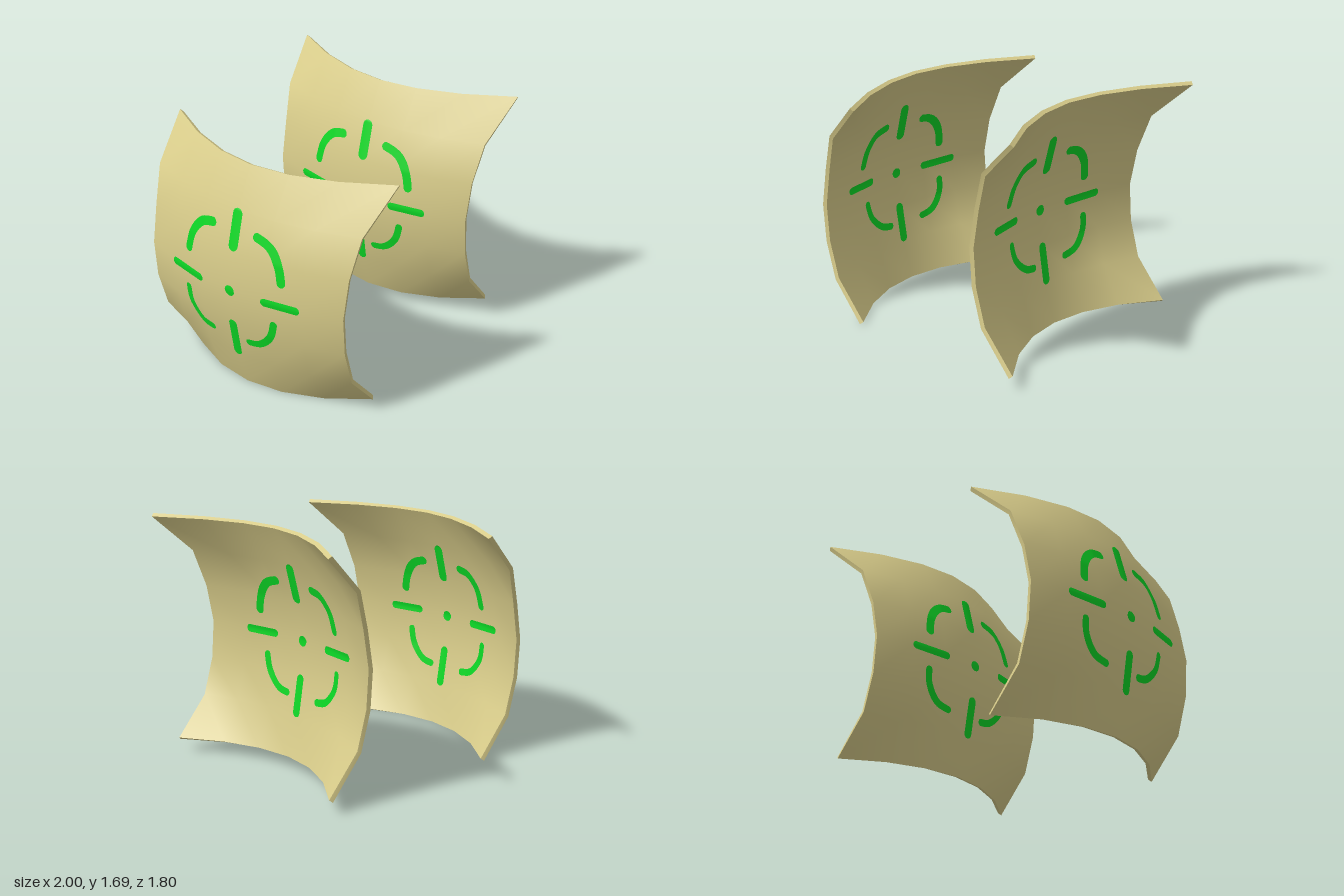
import * as THREE from 'three';
import { mergeGeometries } from 'three/addons/utils/BufferGeometryUtils.js';

const N = 6, HEIGHT = 1.607, HALF = 0.8, THICK = 0.03, LIFT = 0.005;
// per row from bottom to top: x on the centre line, forward curl and sideways flare at the edges
const SPINE = [-0.85, -0.93, -0.975, -1, -0.955, -0.885, -0.755];
const CURL = [0.34, 0.18, 0.145, 0.15, 0.155, 0.175, 0.335];
const FLARE = [0, 0, 0, 0, 0.005, 0.035, 0.1];

const gridPoint = (i, j) => {
  const t = (i / N) * 2 - 1;
  return new THREE.Vector3(
    SPINE[j] + CURL[j] * t * t,
    (HEIGHT * j) / N,
    HALF * t + FLARE[j] * t * Math.abs(t));
};

// unit normal towards the hollow side
const gridNormal = (i, j) => {
  const du = gridPoint(Math.min(i + 1, N), j).sub(gridPoint(Math.max(i - 1, 0), j));
  const dv = gridPoint(i, Math.min(j + 1, N)).sub(gridPoint(i, Math.max(j - 1, 0)));
  return dv.cross(du).normalize();
};

// point of the faceted panel at u, v in 0..1, moved by depth through the thickness
function panelPoint(u, v, depth) {
  const a = u * N, b = v * N;
  const i = Math.min(Math.floor(a), N - 1), j = Math.min(Math.floor(b), N - 1);
  const fu = a - i, fv = b - j;
  const corner = (p, q) => gridPoint(p, q).addScaledVector(gridNormal(p, q), depth);
  const low = corner(i, j).lerp(corner(i + 1, j), fu);
  return low.lerp(corner(i, j + 1).lerp(corner(i + 1, j + 1), fu), fv);
}

// grid of quads over a point function
function sheet(nu, nv, fn, flip = false) {
  const pos = [], idx = [];
  for (let j = 0; j <= nv; j++)
    for (let i = 0; i <= nu; i++) pos.push(...fn(i / nu, j / nv).toArray());
  for (let j = 0; j < nv; j++)
    for (let i = 0; i < nu; i++) {
      const a = j * (nu + 1) + i, b = a + 1, d = a + nu + 1, c = d + 1;
      if (flip) idx.push(a, c, b, a, d, c);
      else idx.push(a, b, c, a, c, d);
    }
  const g = new THREE.BufferGeometry();
  g.setAttribute('position', new THREE.Float32BufferAttribute(pos, 3));
  g.setIndex(idx);
  g.computeVertexNormals();
  return g;
}

// curved panel: outer skin, inner skin and four rims
function panelGeometry() {
  return mergeGeometries([
    sheet(N, N, (u, v) => panelPoint(u, v, 0)),
    sheet(N, N, (u, v) => panelPoint(u, v, THICK), true),
    sheet(N, 1, (u, w) => panelPoint(u, 0, w * THICK), true),
    sheet(N, 1, (u, w) => panelPoint(u, 1, w * THICK)),
    sheet(N, 1, (v, w) => panelPoint(1, v, w * THICK), true),
    sheet(N, 1, (v, w) => panelPoint(0, v, w * THICK)),
  ]);
}

// painted strokes: half width, then z, y points
const STROKES = [
  [0.037, [0, 1.07], [0, 1.35]],
  [0.033, [0, 0.265], [0, 0.56]],
  [0.028, [0.52, 0.8], [0.245, 0.8]],
  [0.028, [-0.24, 0.79], [-0.54, 0.803]],
  [0.037, [0.038, 0.795], [-0.038, 0.795]],
  [0.03, [0.385, 0.93], [0.345, 1.07], [0.27, 1.17], [0.14, 1.215]],
  [0.03, [-0.165, 1.205], [-0.28, 1.175], [-0.36, 1.08], [-0.395, 0.925]],
  [0.025, [0.335, 0.665], [0.295, 0.53], [0.2, 0.435], [0.09, 0.41]],
  [0.025, [-0.4, 0.68], [-0.385, 0.55], [-0.3, 0.44], [-0.18, 0.41]],
];

// round-ended stroke laid on the panel at the given depth
function strokeGeometry([w, ...pts], depth) {
  const curve = new THREE.CatmullRomCurve3(pts.map(([z, y]) => new THREE.Vector3(0, y, z)));
  const len = curve.getLength();
  return sheet(36, 4, (s, k) => {
    const t = (1 - Math.cos(Math.PI * s)) / 2;
    const d = Math.min(w, len * Math.min(t, 1 - t));
    const half = Math.sqrt(Math.max(0, w * w - (w - d) ** 2)) * (2 * k - 1);
    const p = curve.getPointAt(t), tan = curve.getTangentAt(t);
    const z = p.z - tan.y * half, y = p.y + tan.z * half;
    return panelPoint((z / HALF + 1) / 2, y / HEIGHT, depth);
  });
}

export function createModel() {
  const sand = new THREE.MeshStandardMaterial({ color: 0xd8cc8a });
  sand.name = 'sand';
  const green = new THREE.MeshStandardMaterial({ color: 0x0cd826, side: THREE.DoubleSide });
  green.name = 'green';

  const panelGeo = panelGeometry();
  const paint = (depth) => mergeGeometries(STROKES.map((s) => strokeGeometry(s, depth)));
  const outerGeo = paint(-LIFT), innerGeo = paint(THICK + LIFT);

  const model = new THREE.Group();
  model.name = 'curvedPanels';
  // two equal panels, the left one slightly higher
  for (const [name, x, y] of [['right', 0, 0], ['left', 1.4, 0.08]]) {
    const group = new THREE.Group();
    group.name = name + 'PanelGroup';
    group.position.set(x, y, 0);
    const add = (part, geo, mat) => {
      const mesh = new THREE.Mesh(geo, mat);
      mesh.name = name + part;
      group.add(mesh);
    };
    add('Panel', panelGeo, sand);
    add('OuterTargetMark', outerGeo, green);
    add('InnerTargetMark', innerGeo, green);
    model.add(group);
  }
  return model;
}
